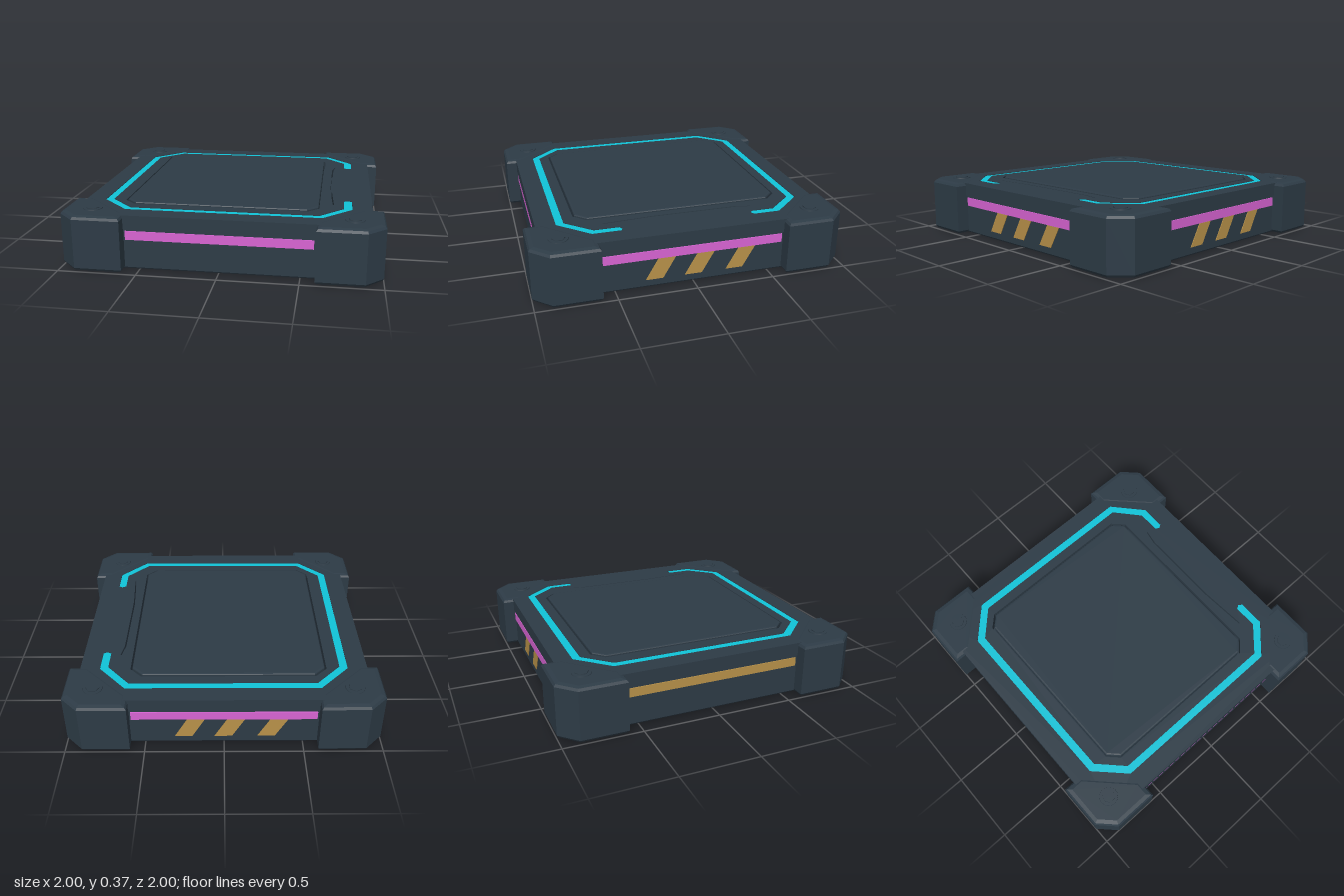
import * as THREE from 'three';

const mat = (name, color) => {
  const m = new THREE.MeshStandardMaterial({ color });
  m.name = name;
  return m;
};

// Horizontal slab: outline points are [x, z]; bevels stay inside the outline.
function slab(points, bottom, top, bevel = 0, holes = []) {
  const toVec = (p) => new THREE.Vector2(p[0], p[1]);
  const shape = new THREE.Shape(points.map(toVec));
  holes.forEach((h) => shape.holes.push(new THREE.Path(h.map(toVec))));
  const t = bevel * 0.6;
  const geo = new THREE.ExtrudeGeometry(shape, {
    depth: top - bottom - 2 * t, bevelEnabled: bevel > 0,
    bevelSize: bevel, bevelThickness: t, bevelOffset: -bevel, bevelSegments: 2,
  });
  return geo.rotateX(Math.PI / 2).translate(0, top - t, 0);
}

// Rectangle with cut corners
const octagon = (x0, x1, z0, z1, c) => [
  [x0 + c, z0], [x1 - c, z0], [x1, z0 + c], [x1, z1 - c],
  [x1 - c, z1], [x0 + c, z1], [x0, z1 - c], [x0, z0 + c],
];

export function createModel() {
  const slate = mat('slate armour', 0x2d3b46);
  const cyan = mat('cyan light', 0x10c3d8);
  const pink = mat('pink light', 0xd864d3);
  const amber = mat('amber paint', 0xb89149);

  const root = new THREE.Group();
  root.name = 'floorTile';
  const add = (parent, name, geo, material) => {
    const mesh = new THREE.Mesh(geo, material);
    mesh.name = name;
    parent.add(mesh);
    return mesh;
  };

  // C-shaped light channel, open on the +x side
  const channel = [
    [0.8, -0.44], [0.8, -0.61], [0.62, -0.81], [-0.61, -0.81], [-0.8, -0.61],
    [-0.8, 0.61], [-0.61, 0.8], [0.62, 0.8], [0.8, 0.61], [0.8, 0.43],
    [0.775, 0.415], [0.748, 0.43], [0.748, 0.59], [0.6, 0.75], [-0.59, 0.75],
    [-0.748, 0.59], [-0.748, -0.59], [-0.59, -0.758], [0.6, -0.758],
    [0.748, -0.59], [0.748, -0.44], [0.775, -0.425],
  ];
  // Narrow bowed slot beside the panel
  const slot = [
    [0.685, -0.46], [0.667, -0.36], [0.665, 0.2], [0.685, 0.52],
    [0.677, 0.52], [0.655, 0.2], [0.657, -0.36], [0.677, -0.46],
  ];
  const panelGap = octagon(-0.662, 0.602, -0.692, 0.682, 0.075);

  // Body, deck, light and raised panel
  add(root, 'body', slab(octagon(-0.917, 0.917, -0.917, 0.917, 0.05), 0.006, 0.3, 0.02), slate);
  add(root, 'deck', slab(octagon(-0.927, 0.927, -0.927, 0.927, 0.05), 0.27, 0.358, 0,
    [channel, panelGap, slot]), slate);
  add(root, 'deckLight', slab(channel, 0.29, 0.354), cyan);
  add(root, 'panel', slab(octagon(-0.65, 0.59, -0.68, 0.67, 0.07), 0.29, 0.367, 0.012), slate);

  // Corner guards with bolts on top, bottom and both outer faces
  const guard = [[0.59, 1], [0.59, 0.87], [0.87, 0.59], [1, 0.59], [1, 0.89], [0.89, 1]];
  for (let i = 0; i < 4; i++) {
    const corner = new THREE.Group();
    corner.name = 'corner' + (i + 1);
    corner.rotation.y = (i * Math.PI) / 2;
    root.add(corner);
    add(corner, 'guard', slab(guard, 0.004, 0.36, 0.035), slate);
    add(corner, 'topWasher', new THREE.CylinderGeometry(0.06, 0.065, 0.02, 16), slate)
      .position.set(0.815, 0.355, 0.815);
    add(corner, 'topBolt', new THREE.CylinderGeometry(0.042, 0.045, 0.02, 6), slate)
      .position.set(0.815, 0.36, 0.815);
    add(corner, 'foot', new THREE.CylinderGeometry(0.06, 0.055, 0.02, 16), slate)
      .position.set(0.815, 0.01, 0.815);
    const stud = new THREE.CylinderGeometry(0.02, 0.025, 0.012, 8);
    add(corner, 'frontStud', stud.clone().rotateX(Math.PI / 2), slate).position.set(0.74, 0.15, 0.994);
    add(corner, 'sideStud', stud.clone().rotateZ(-Math.PI / 2), slate).position.set(0.994, 0.15, 0.74);
  }

  // Side lights and slanted stripes, laid out on the front and turned into place
  const stripeShape = new THREE.Shape([
    new THREE.Vector2(0, 0.06), new THREE.Vector2(0.11, 0.06),
    new THREE.Vector2(0.19, 0.198), new THREE.Vector2(0.08, 0.198),
  ]);
  const stripeGeo = new THREE.ExtrudeGeometry(stripeShape, { depth: 0.006, bevelEnabled: false });
  const sides = [
    ['front', 0, pink, false], ['left', Math.PI / 2, pink, true],
    ['back', Math.PI, pink, true], ['right', -Math.PI / 2, amber, false],
  ];
  for (const [name, angle, lightMat, striped] of sides) {
    const side = new THREE.Group();
    side.name = name + 'Side';
    side.rotation.y = angle;
    root.add(side);
    add(side, 'sideLight', new THREE.BoxGeometry(1.16, 0.057, 0.009), lightMat)
      .position.set(0, 0.228, 0.919);
    if (striped) {
      for (const u of [-0.31, -0.06, 0.21]) {
        add(side, 'stripe', stripeGeo, amber).position.set(u, 0, 0.915);
      }
    }
  }
  return root;
}
